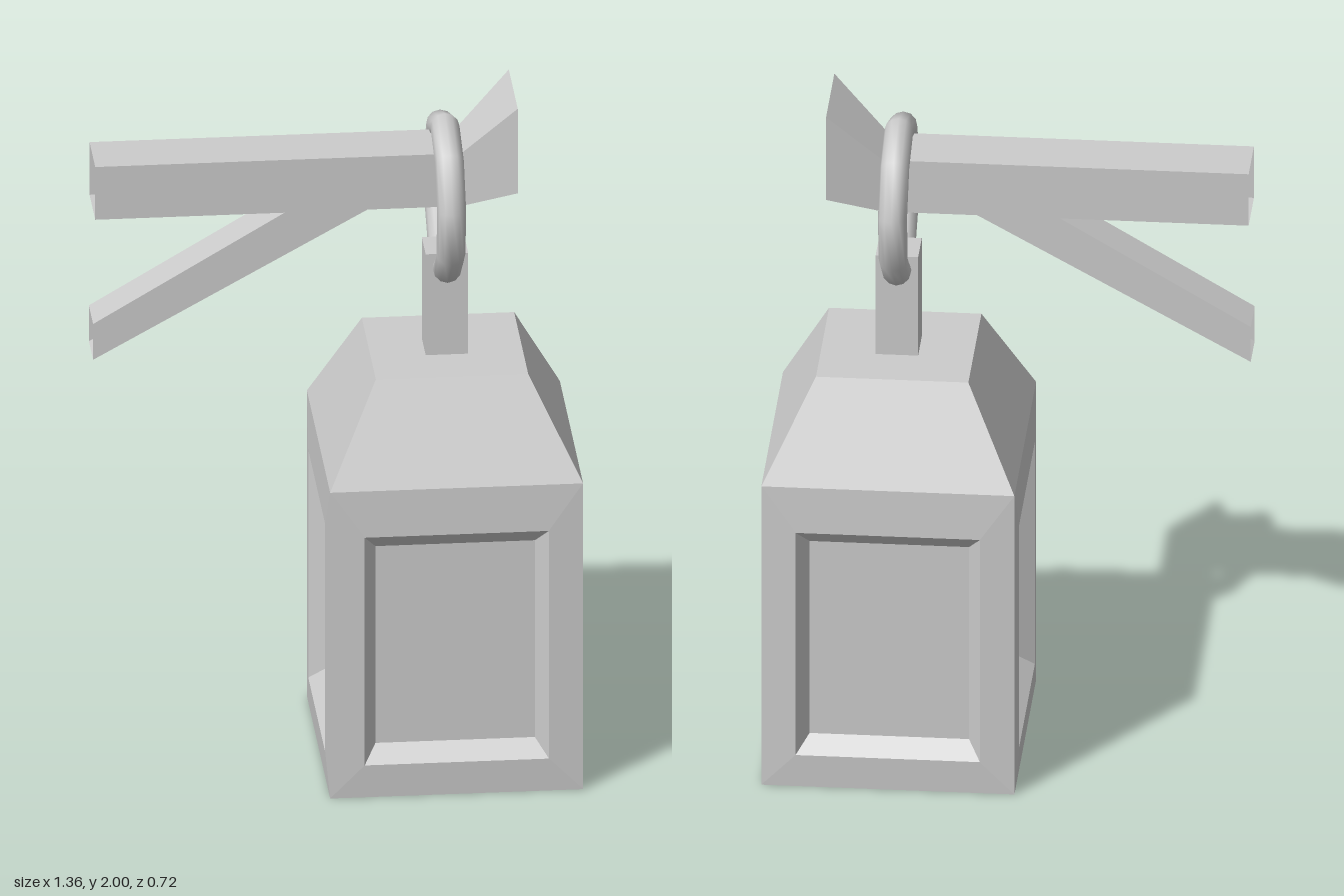
import * as THREE from 'three';

const grey = new THREE.MeshStandardMaterial({ color: 0xcccccc });
const greyOpen = new THREE.MeshStandardMaterial({ color: 0xcccccc, side: THREE.DoubleSide });

// Joins four-cornered sections (counter-clockwise seen from the last one) with flat faces.
function loft(name, sections, { capStart = false, capEnd = false, material = grey } = {}) {
  const pos = [];
  const quad = (a, b, c, d) => [a, b, c, a, c, d].forEach((p) => pos.push(...p));
  for (let s = 0; s + 1 < sections.length; s++) {
    const a = sections[s], b = sections[s + 1];
    for (let i = 0; i < 4; i++) {
      const j = (i + 1) % 4;
      quad(a[i], a[j], b[j], b[i]);
    }
  }
  if (capEnd) quad(...sections[sections.length - 1]);
  if (capStart) quad(...[...sections[0]].reverse());
  const geometry = new THREE.BufferGeometry();
  geometry.setAttribute('position', new THREE.Float32BufferAttribute(pos, 3));
  geometry.computeVertexNormals();
  const mesh = new THREE.Mesh(geometry, material);
  mesh.name = name;
  return mesh;
}

// Square section across y
const level = (h, y) => [[h, y, h], [h, y, -h], [-h, y, -h], [-h, y, h]];

// Rectangle facing +z
const pane = (h, y0, y1, z) => [[h, y0, z], [h, y1, z], [-h, y1, z], [-h, y0, z]];

// Section across x
const slice = (x, y0, y1, h, cz = 0) =>
  [[x, y1, cz + h], [x, y0, cz + h], [x, y0, cz - h], [x, y1, cz - h]];

function createLantern() {
  const lantern = new THREE.Group();
  lantern.name = 'lantern';

  // Four walls, each with a bevelled recessed window
  for (let i = 0; i < 4; i++) {
    const wall = loft('windowWall', [
      pane(0.357, 0, 0.94, 0.357),
      pane(0.26, 0.1, 0.8, 0.362),
      pane(0.225, 0.145, 0.75, 0.31),
    ], { capEnd: true });
    wall.rotation.y = i * Math.PI / 2;
    lantern.add(wall);
  }

  // Base plate closing the bottom
  const base = new THREE.Mesh(new THREE.PlaneGeometry(0.714, 0.714), grey);
  base.rotation.x = Math.PI / 2;
  base.name = 'base';
  lantern.add(base);

  // Sloping roof and the post on top of it
  lantern.add(loft('roof', [level(0.357, 0.94), level(0.215, 1.22)], { capEnd: true }));
  lantern.add(loft('post', [level(0.06, 1.22), level(0.06, 1.53)], { capEnd: true }));

  // Nine-sided hanging ring
  const ring = new THREE.Mesh(new THREE.TorusGeometry(0.208, 0.041, 12, 9), grey);
  ring.geometry.rotateZ(Math.PI / 2).rotateY(Math.PI / 2);
  ring.position.y = 1.685;
  ring.name = 'ring';
  lantern.add(ring);

  lantern.position.x = 0.317;
  return lantern;
}

function createBracket() {
  const bracket = new THREE.Group();
  bracket.name = 'bracket';

  // Beam, open at the wall end, flaring up to a wide tip
  bracket.add(loft('beam', [
    slice(-0.678, 1.685, 1.847, 0.087, -0.003),
    slice(0.355, 1.685, 1.847, 0.087, -0.003),
    slice(0.51, 1.74, 2, 0.137, -0.003),
  ], { capEnd: true, material: greyOpen }));

  // Diagonal brace, cut upright at the wall and level under the beam
  const z0 = -0.068, z1 = 0.062;
  bracket.add(loft('brace', [
    slice(-0.682, 1.245, 1.355, 0.065, -0.003),
    [[-0.125, 1.685, z1], [0.11, 1.685, z1], [0.11, 1.685, z0], [-0.125, 1.685, z0]],
  ], { material: greyOpen }));
  return bracket;
}

export function createModel() {
  const model = new THREE.Group();
  model.name = 'hangingLantern';
  model.add(createLantern(), createBracket());
  return model;
}
